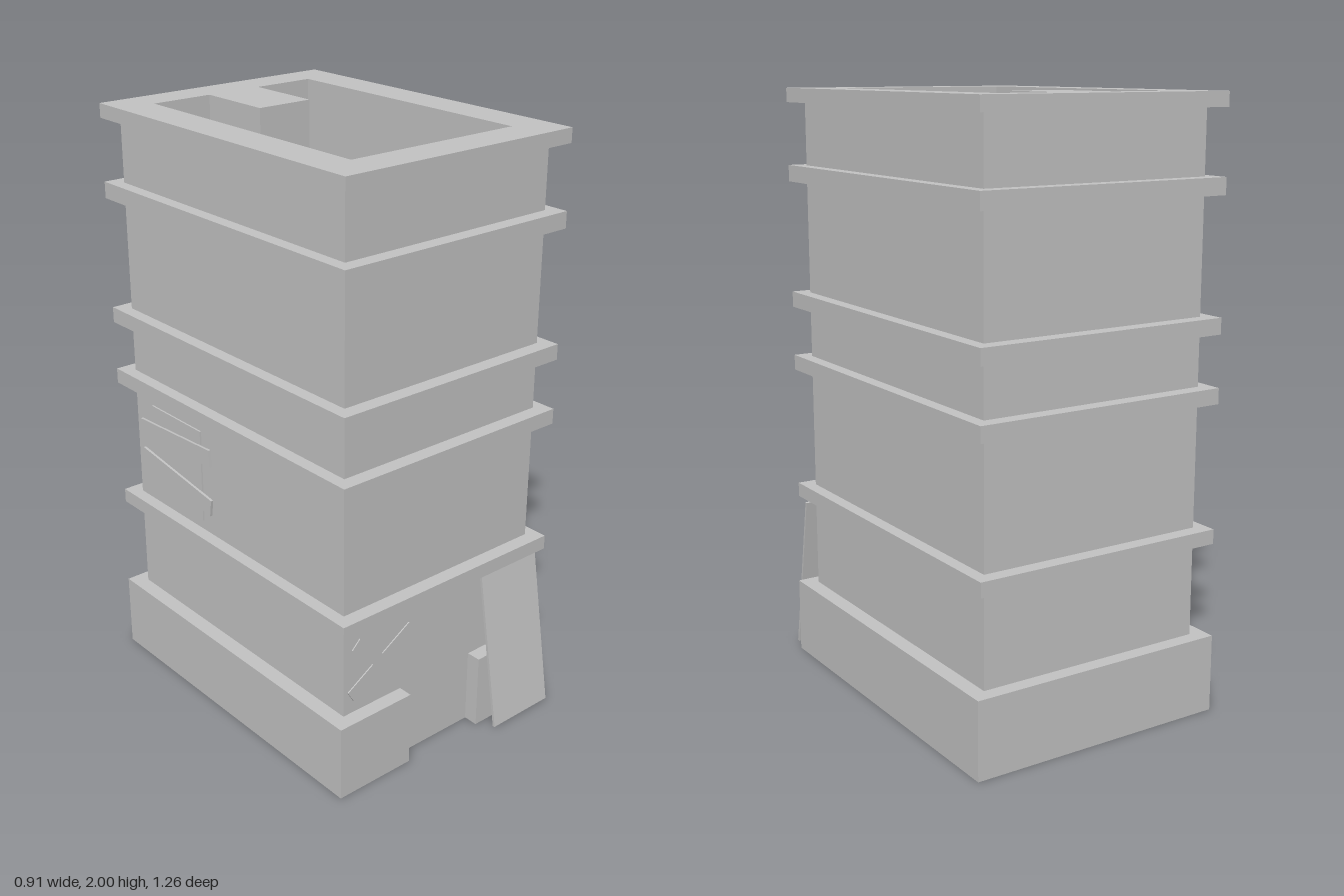
import * as THREE from 'three';

const concrete = new THREE.MeshStandardMaterial({ color: 0xc4c4c4, side: THREE.DoubleSide });
concrete.name = 'concrete grey';

const Z0 = -0.03; // centre of the tower in z
const WALL = { x: 0.4, z: 0.55 };
const BAND = { x: 0.443, z: 0.6 };
const BASE = { x: 0.453, z: 0.6 };

// Outline [x, z]: a rectangle whose front may have an entrance gap cut back to the wall
function outline({ x, z }, gap = false) {
  const f = Z0 + z, b = Z0 - z, g = Z0 + WALL.z;
  const front = gap ? [[-0.16, f], [-0.16, g], [0.15, g], [0.15, f]] : [[-0.16, f], [-0.16, f], [0.15, f], [0.15, f]];
  return [[-x, f], ...front, [x, f], [x, b], [-x, b]];
}

// Flat-sided skin through closed outlines at given heights
function loft(levels) {
  const pos = [];
  for (let k = 0; k + 1 < levels.length; k++) {
    const [lo, y0] = levels[k], [hi, y1] = levels[k + 1];
    lo.forEach((p, i) => {
      const j = (i + 1) % lo.length;
      const a = [p[0], y0, p[1]], b = [lo[j][0], y0, lo[j][1]];
      const c = [hi[j][0], y1, hi[j][1]], d = [hi[i][0], y1, hi[i][1]];
      pos.push(...a, ...b, ...c, ...a, ...c, ...d);
    });
  }
  const geo = new THREE.BufferGeometry();
  geo.setAttribute('position', new THREE.Float32BufferAttribute(pos, 3));
  geo.computeVertexNormals();
  return geo;
}

const flip = (pts) => pts.map(([x, z]) => new THREE.Vector2(x, -z));

// Horizontal face at height y, with an optional hole
function slab(pts, y, hole) {
  const shape = new THREE.Shape(flip(pts));
  if (hole) shape.holes.push(new THREE.Path(flip(hole)));
  return new THREE.ShapeGeometry(shape).rotateX(-Math.PI / 2).translate(0, y, 0);
}

export function createModel() {
  const model = new THREE.Group();
  model.name = 'tower';
  const add = (name, geo, parent = model) => {
    const mesh = new THREE.Mesh(geo, concrete);
    mesh.name = name;
    parent.add(mesh);
    return mesh;
  };
  const wall = outline(WALL), band = outline(BAND), base = outline(BASE, true);

  // Hollow plinth with the entrance gap, open below
  add('plinth', loft([[base, 0], [base, 0.26], [wall, 0.26]]));

  // Wall storeys and the projecting cornices above each
  const cornices = [[0.577, 0.626], [1.038, 1.09], [1.26, 1.313], [1.69, 1.745], [1.953, 2]];
  let y = 0.26;
  cornices.forEach(([y0, y1], i) => {
    add(`wallStorey${i + 1}`, loft([[wall, y], [wall, y0]]));
    const levels = [[wall, y0], [band, y0], [band, y1]];
    if (y1 < 2) levels.push([wall, y1]);
    add(`cornice${i + 1}`, loft(levels));
    y = y1;
  });

  // Parapet top and sunken roof, with a block jutting in from the back
  const well = [[-0.315, 0.445], [-0.315, -0.51], [-0.1, -0.51], [-0.1, -0.24],
    [0.1, -0.24], [0.1, -0.51], [0.315, -0.51], [0.315, 0.445]];
  const rim = [[-BAND.x, 0.57], [BAND.x, 0.57], [BAND.x, -0.63], [-BAND.x, -0.63]];
  const floorY = 1.71;
  add('parapetTop', slab(rim, 2, well));
  add('roofWellWalls', loft([[well, floorY], [well, 2]]));
  add('roofFloor', slab(well, floorY));

  // Sheet leaning on the front
  const sheet = add('leaningSheet', new THREE.BoxGeometry(0.255, 0.56, 0.009));
  sheet.position.set(0.308, 0.282, 0.579);
  sheet.rotation.set(-0.16, 0, 0.008);

  // Crossed boards, almost flush with the front wall
  const crossed = new THREE.Group();
  crossed.name = 'crossedBoards';
  crossed.position.set(-0.245, 0.4, 0.52);
  [[-0.78, 0.3], [0.55, 0.3]].forEach(([angle, length], i) => {
    const board = add(`crossBoard${i + 1}`, new THREE.BoxGeometry(length, 0.045, 0.008), crossed);
    board.rotation.z = angle;
  });
  model.add(crossed);

  // Boarded window on the right side
  const windowGroup = new THREE.Group();
  windowGroup.name = 'boardedWindow';
  windowGroup.position.set(-0.4, 0.825, -0.34);
  add('windowPanel', new THREE.BoxGeometry(0.012, 0.33, 0.28), windowGroup);
  [[0.08, -0.05], [-0.065, 0.14]].forEach(([h, tilt], i) => {
    const board = add(`windowBoard${i + 1}`, new THREE.BoxGeometry(0.009, 0.06, 0.4), windowGroup);
    board.position.set(-0.01, h, 0);
    board.rotation.x = tilt;
  });
  model.add(windowGroup);

  return model;
}
